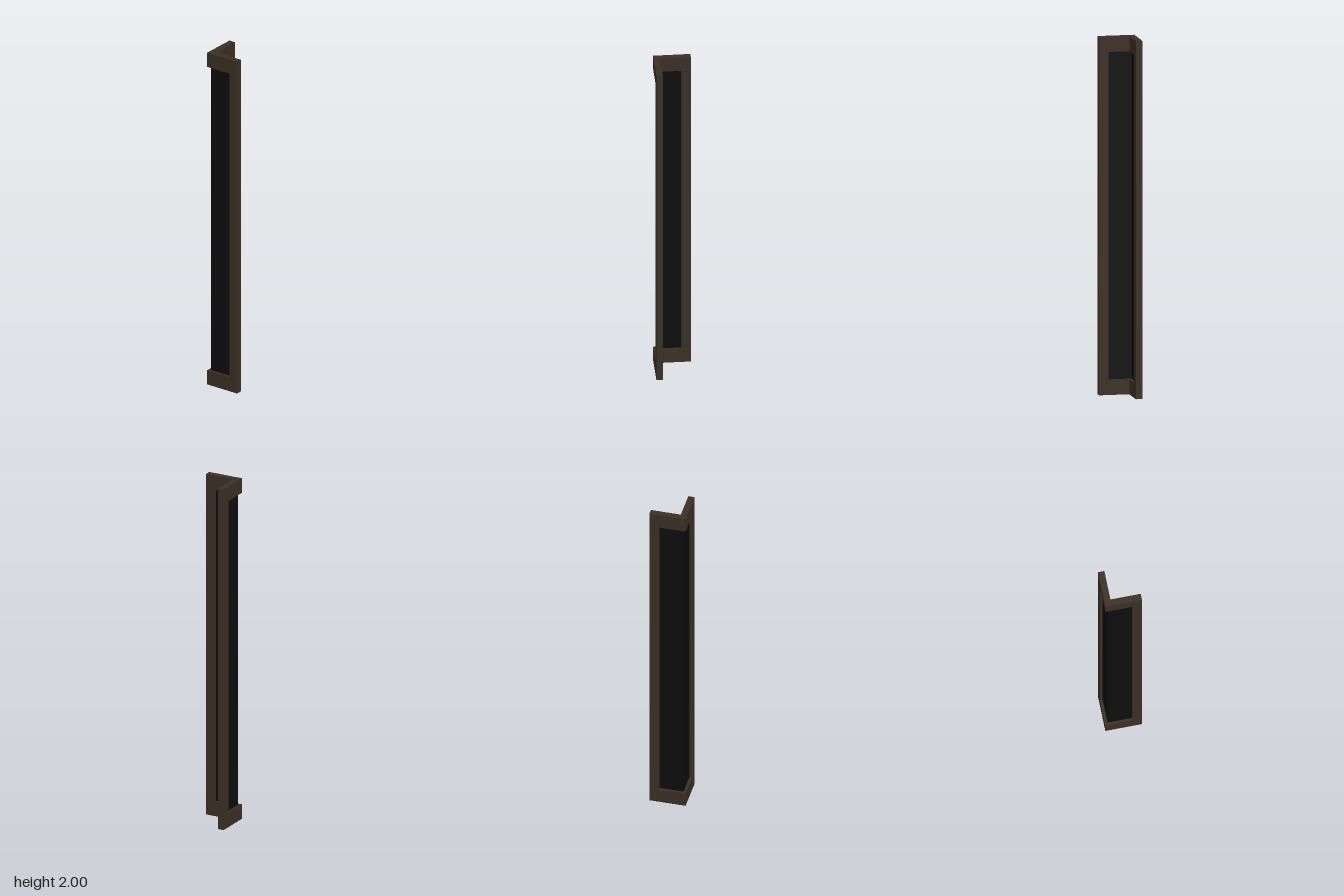
import * as THREE from 'three';

const HALF = 0.103;     // half of the footprint
const THICK = 0.036;    // frame thickness
const HEIGHT = 2;
const RAIL = 0.085;     // height of the top and bottom rails
const POST = 0.053;     // width of the end posts

// L-shaped prism standing on y = 0; corner at (-x, -z), arms running to +x and +z
function cornerPrism(start, end, thick, height) {
  const s = start, i = start + thick, e = end;
  const points = [[s, -e], [i, -e], [i, -i], [e, -i], [e, -s], [s, -s]];
  const shape = new THREE.Shape(points.map(([x, y]) => new THREE.Vector2(x, y)));
  return new THREE.ExtrudeGeometry(shape, { depth: height, bevelEnabled: false }).rotateX(-Math.PI / 2);
}

export function createModel() {
  const model = new THREE.Group();
  model.name = 'cornerWindow';

  const frame = new THREE.MeshStandardMaterial({ color: 0x3a2f24 });
  frame.name = 'dark brown frame';
  const glass = new THREE.MeshStandardMaterial({ color: 0x0d0d0d });
  glass.name = 'black glass';

  const add = (name, geometry, material, x, y, z) => {
    const mesh = new THREE.Mesh(geometry, material);
    mesh.name = name;
    mesh.position.set(x, y, z);
    model.add(mesh);
  };

  // Rails wrap round the corner at the bottom and top
  const rail = cornerPrism(-HALF, HALF, THICK, RAIL);
  add('bottomRail', rail, frame, 0, 0, 0);
  add('topRail', rail, frame, 0, HEIGHT - RAIL, 0);

  // A post closes the free end of each arm
  const postHeight = HEIGHT - 2 * RAIL;
  const end = HALF - POST / 2;
  const side = -HALF + THICK / 2;
  add('backPost', new THREE.BoxGeometry(POST, postHeight, THICK), frame, end, HEIGHT / 2, side);
  add('sidePost', new THREE.BoxGeometry(THICK, postHeight, POST), frame, side, HEIGHT / 2, end);

  // Thin pane set in the middle of the frame, meeting itself at the corner
  const paneThick = 0.005;
  const pane = cornerPrism(side - paneThick / 2, HALF - POST, paneThick, postHeight);
  add('cornerPane', pane, glass, 0, RAIL, 0);

  return model;
}
